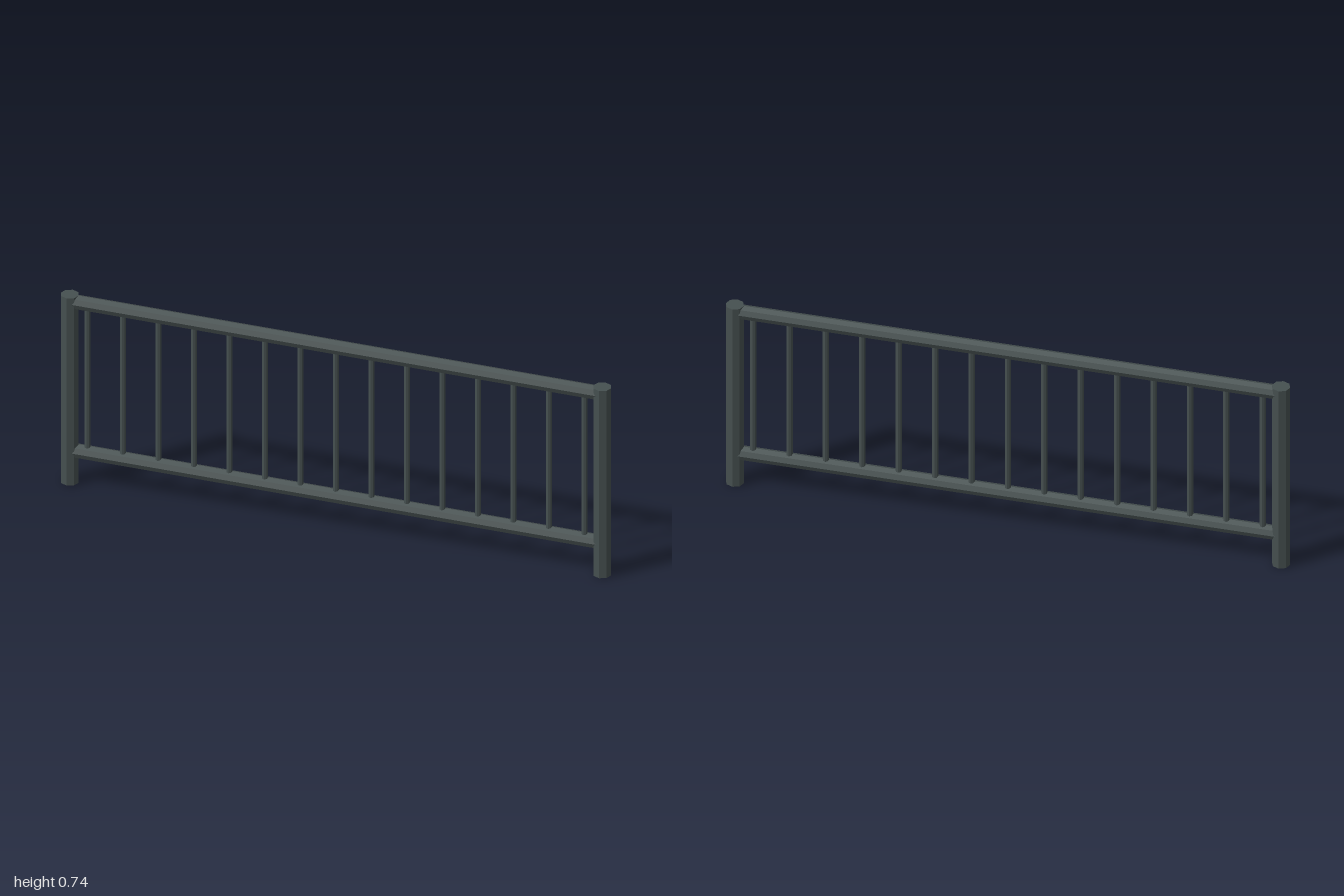
import * as THREE from 'three';

export function createModel() {
  const group = new THREE.Group();
  group.name = 'railing';
  const material = new THREE.MeshStandardMaterial({ color: 0x465050, flatShading: true });

  // Eight-sided bar, upright unless laid along x
  function bar(name, radius, length, x, y, alongX = false) {
    const geometry = new THREE.CylinderGeometry(radius, radius, length, 8);
    if (alongX) geometry.rotateZ(Math.PI / 2);
    const mesh = new THREE.Mesh(geometry, material);
    mesh.name = name;
    mesh.position.set(x, y, 0);
    group.add(mesh);
  }

  // End posts
  const postRadius = 0.0325, height = 0.735;
  const postX = 1 - postRadius;
  bar('leftPost', postRadius, height, postX, height / 2);
  bar('rightPost', postRadius, height, -postX, height / 2);

  // Horizontal rails between the posts
  const railRadius = 0.026, topY = height - railRadius, bottomY = 0.125;
  bar('topRail', railRadius, 2 * postX, 0, topY, true);
  bar('bottomRail', railRadius, 2 * postX, 0, bottomY, true);

  // Evenly spaced balusters, ending inside the rails
  const count = 15, pitch = 0.129;
  for (let i = 0; i < count; i++) {
    const x = (i - (count - 1) / 2) * pitch;
    bar(`baluster${i + 1}`, 0.0115, topY - bottomY, x, (topY + bottomY) / 2);
  }
  return group;
}
